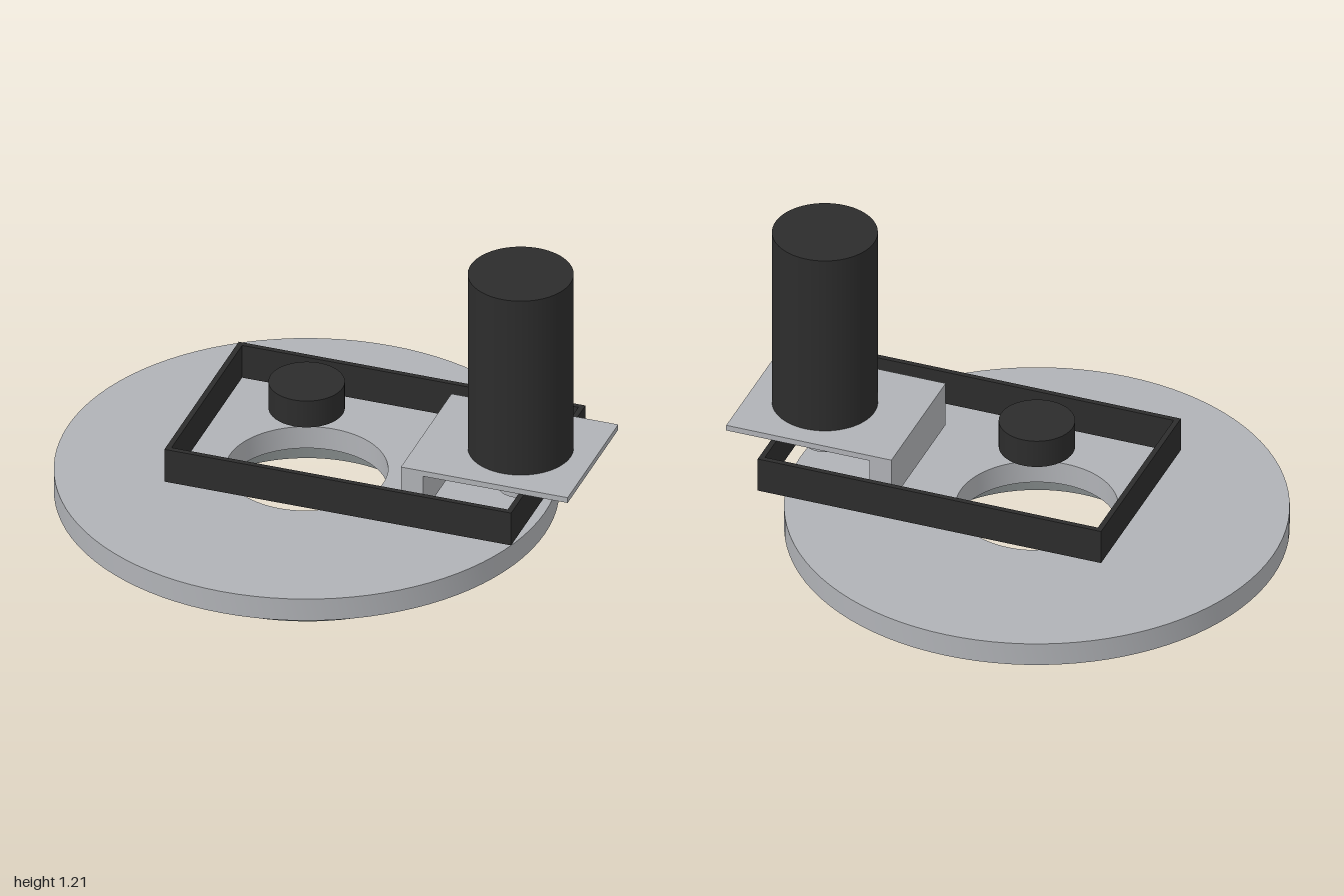
import * as THREE from 'three';
import { toCreasedNormals } from 'three/addons/utils/BufferGeometryUtils.js';

const mat = (name, color) => {
  const m = new THREE.MeshStandardMaterial({ color });
  m.name = name;
  return m;
};

// Flat ring with crisp edges, standing between y0 and y1
function ring(inner, outer, y0, y1) {
  const profile = [[inner, y0], [outer, y0], [outer, y1], [inner, y1], [inner, y0]]
    .map(([x, y]) => new THREE.Vector2(x, y));
  return toCreasedNormals(new THREE.LatheGeometry(profile, 96), 0.6);
}

function cylinder(r, y0, y1) {
  return new THREE.CylinderGeometry(r, r, y1 - y0, 64).translate(0, (y0 + y1) / 2, 0);
}

function box(x0, x1, y0, y1, z0, z1) {
  return new THREE.BoxGeometry(x1 - x0, y1 - y0, z1 - z0)
    .translate((x0 + x1) / 2, (y0 + y1) / 2, (z0 + z1) / 2);
}

// Rectangle outline, clockwise or not; extrusion fixes the winding
function rectangle(target, x0, x1, z) {
  return target.moveTo(x0, -z).lineTo(x1, -z).lineTo(x1, z).lineTo(x0, z).closePath();
}

export function createModel() {
  const model = new THREE.Group();
  const metal = mat('light metal', 0xb0b2b6);
  const steel = mat('dark steel', 0x838989);
  const black = mat('black', 0x2c2c2c);

  const add = (name, geometry, material, x = 0) => {
    const mesh = new THREE.Mesh(geometry, material);
    mesh.name = name;
    mesh.position.x = x;
    model.add(mesh);
  };

  const hubX = -0.09, motorX = 0.725;

  // Turntable: flange, bearing ring below it and the floating centre cap
  add('bearingRing', ring(0.455, 0.68, 0, 0.14), steel, hubX);
  add('turntableDisc', ring(0.292, 0.907, 0.14, 0.23), metal, hubX);
  add('centreCap', cylinder(0.137, 0.485, 0.595), black, hubX);

  // Drive belt: a thin rectangular loop
  const loop = rectangle(new THREE.Shape(), -0.49, 0.83, 0.397);
  loop.holes.push(rectangle(new THREE.Path(), -0.47, 0.81, 0.377));
  const belt = new THREE.ExtrudeGeometry(loop, { depth: 0.135, bevelEnabled: false });
  add('driveBelt', belt.rotateX(-Math.PI / 2).translate(0, 0.32, 0), black);

  // Motor on its bracket, with the pulley hanging below
  add('bracketPlate', box(0.365, 1, 0.46, 0.482, -0.27, 0.27), metal);
  add('bracketWall', box(0.365, 0.45, 0.305, 0.46, -0.27, 0.27), metal);
  add('motorPulley', cylinder(0.08, 0.32, 0.46), metal, motorX);
  add('motor', cylinder(0.19, 0.482, 1.21), black, motorX);

  return model;
}
